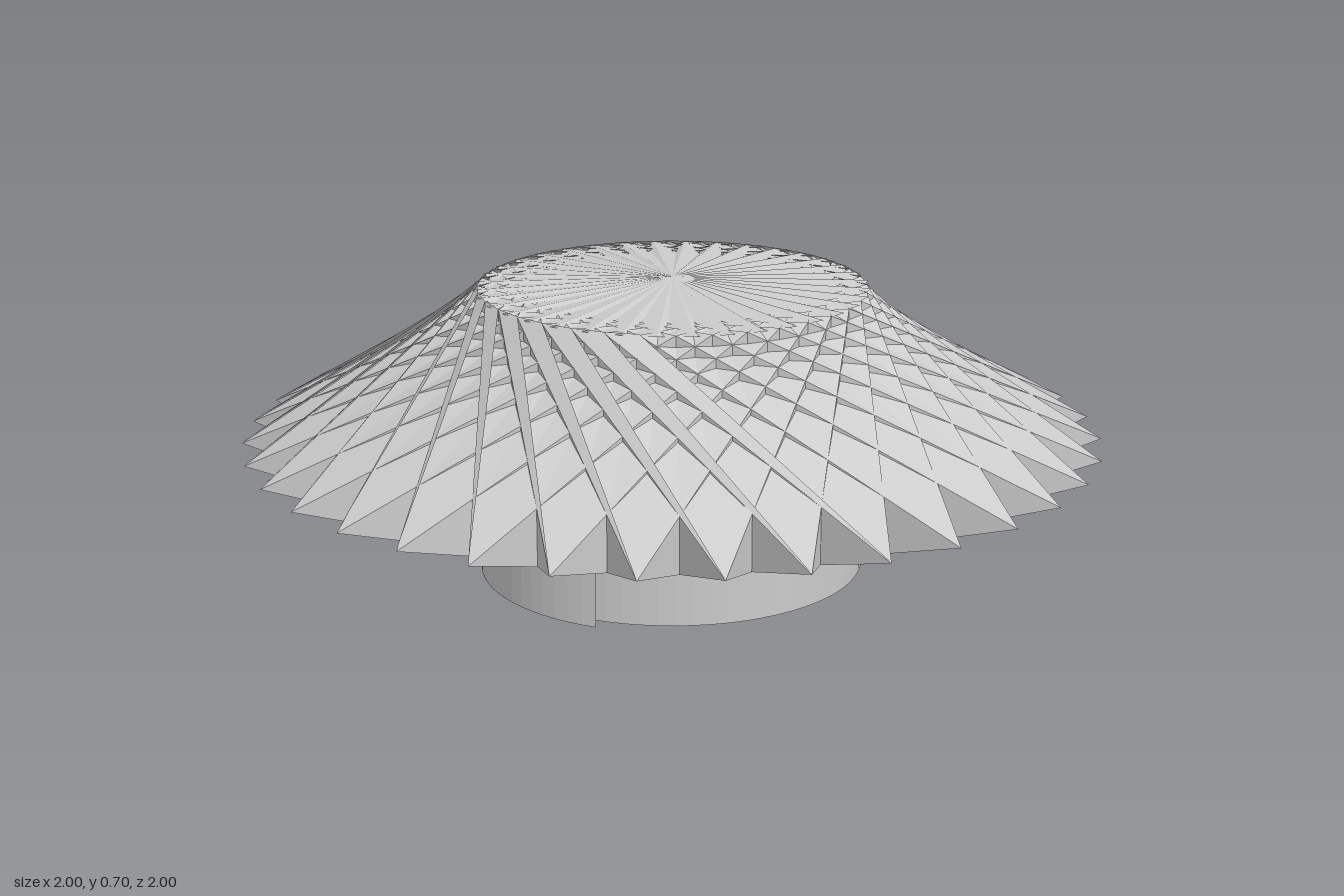
import * as THREE from 'three';

const TEETH = 36, STEP = (Math.PI * 2) / TEETH, HALF = Math.PI / 4;
const TIP_R = 1, TIP_Y = 0.33, HUB_R = 0.45, TOP_Y = 0.68, NECK_Y = 0.14;

const material = new THREE.MeshStandardMaterial({
  color: 0xcccccc, flatShading: true, side: THREE.DoubleSide,
});

// Point at radius r and height y, angle measured clockwise from the back as seen from above
const at = (angle, r, y) => new THREE.Vector3(r * Math.sin(angle), y, -r * Math.cos(angle));

function facets(name, triangles) {
  const g = new THREE.BufferGeometry().setFromPoints(triangles.flat());
  g.computeVertexNormals();
  const mesh = new THREE.Mesh(g, material);
  mesh.name = name;
  return mesh;
}

// Wedge-shaped paper tooth: wide top flap, two side walls, underside cut round the neck
function tooth(a) {
  const tip = at(a, TIP_R, TIP_Y);
  const a1 = at(a - HALF, HUB_R, TOP_Y), b1 = at(a + HALF, HUB_R, TOP_Y);
  const a0 = at(a - HALF, HUB_R, NECK_Y), b0 = at(a + HALF, HUB_R, NECK_Y);
  const tris = [[tip, b1, a1], [tip, a1, a0], [tip, b0, b1]];
  const n = 6, reach = TIP_R - HUB_R * Math.cos(HALF);
  const neck = (k) => {
    const d = -HALF + (2 * HALF * k) / n;
    const t = (TIP_R - HUB_R * Math.cos(d)) / reach;
    return at(a + d, HUB_R, TIP_Y + (NECK_Y - TIP_Y) * t);
  };
  for (let k = 0; k < n; k++) tris.push([tip, neck(k), neck(k + 1)]);
  return tris;
}

export function createModel() {
  const group = new THREE.Group();

  const teeth = [], overlaps = [], cap = [];
  for (let i = 0; i < TEETH; i++) {
    const a = i * STEP;
    teeth.push(...tooth(a));

    // Swirling overlap strips; the right side keeps its open criss-cross folds
    if (i <= 3 || i >= 15) {
      overlaps.push([
        at(a, TIP_R, TIP_Y + 0.002),
        at(a + HALF, HUB_R, TOP_Y + 0.002),
        at(a + HALF - STEP, HUB_R, TOP_Y + 0.002),
      ]);
    }

    // Shallow pleated lid with a saw-toothed edge
    const centre = new THREE.Vector3(0, 0.7, 0);
    const p = at(a, 0.46, 0.68), q = at(a + STEP * 0.75, 0.435, 0.673), r = at(a + STEP, 0.46, 0.68);
    cap.push([centre, q, p], [centre, r, q]);
  }
  group.add(facets('pleatedTeeth', teeth));
  group.add(facets('overlapStrips', overlaps));
  group.add(facets('pleatedLid', cap));

  // Open base ring, with a slightly deeper band round part of it
  const ring = new THREE.Mesh(
    new THREE.CylinderGeometry(HUB_R, HUB_R, 0.145, 72, 1, true), material);
  ring.position.y = 0.015 + 0.145 / 2;
  ring.name = 'baseRing';
  group.add(ring);

  const band = new THREE.Mesh(
    new THREE.CylinderGeometry(HUB_R + 0.004, HUB_R + 0.004, 0.14, 40, 1, true, Math.PI * 0.9, Math.PI * 1.0),
    material);
  band.position.y = 0.07;
  band.name = 'baseRingOverlap';
  group.add(band);

  return group;
}
